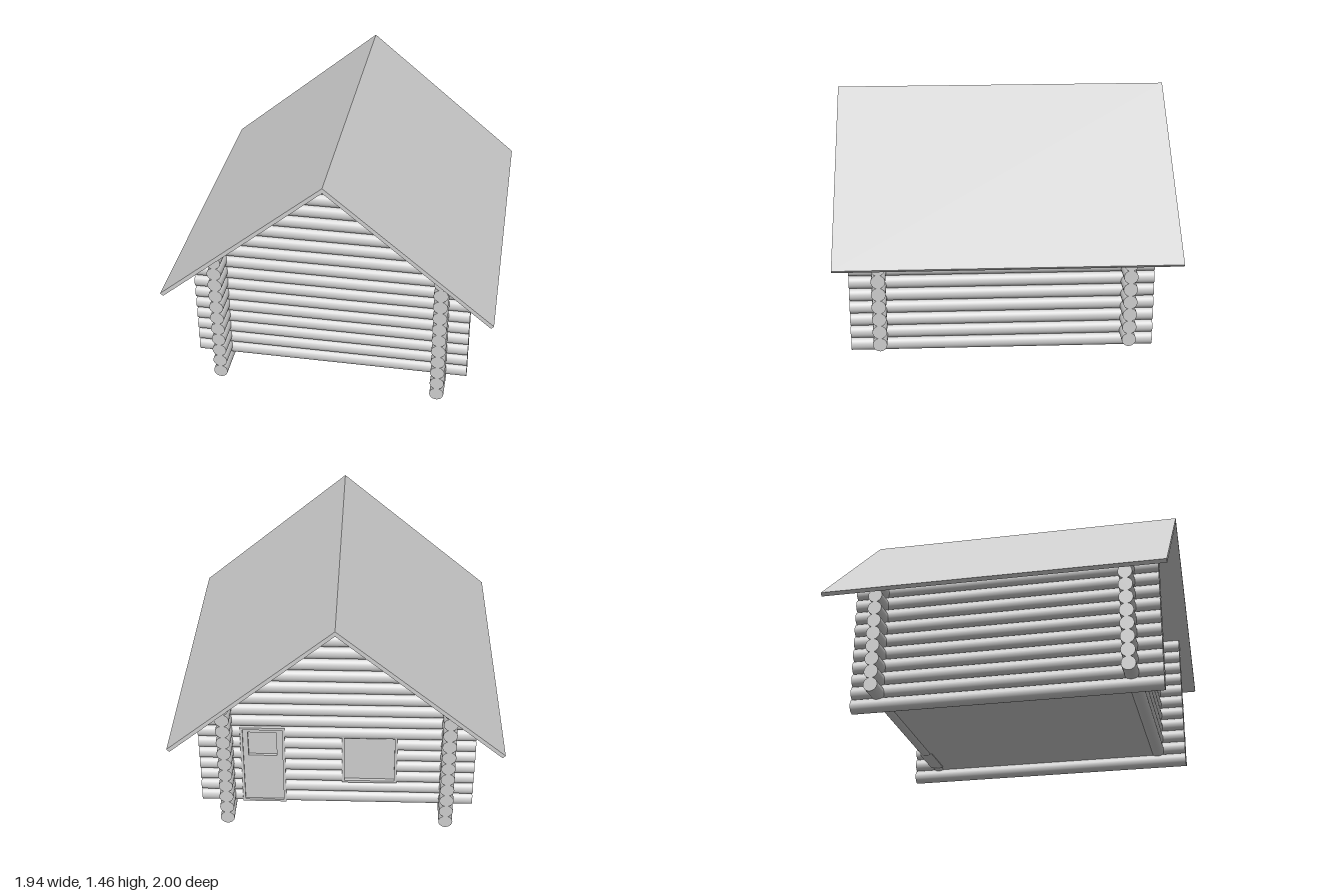
import * as THREE from 'three';

const material = new THREE.MeshStandardMaterial({ color: 0xcccccc });
const R = 0.042, STEP = 0.0803;            // log radius and spacing
const HALF_X = 0.825, FRONT_Z = 0.75, BACK_Z = -0.72;
const SIDE_X = 0.66, SIDE_FRONT = 0.93, SIDE_BACK = -0.88;
const SLOPE = 0.84, RIDGE = 1.43;          // underside of the roof

// openings in the back wall: rows of logs are cut between x0 and x1
const DOOR = { x0: 0.31, x1: 0.575, y0: 0.075, y1: 0.63, rows: [0, 6] };
const WINDOW = { x0: -0.36, x1: -0.03, y0: 0.235, y1: 0.595, rows: [2, 5] };

export function createModel() {
  const model = new THREE.Group();
  model.name = 'logCabin';

  const add = (parent, name, geometry, x = 0, y = 0, z = 0) => {
    const mesh = new THREE.Mesh(geometry, material);
    mesh.name = name;
    mesh.position.set(x, y, z);
    parent.add(mesh);
    return mesh;
  };
  const group = (name) => {
    const g = new THREE.Group();
    g.name = name;
    model.add(g);
    return g;
  };
  const box = (parent, name, x0, x1, y0, y1, z0, z1) =>
    add(parent, name, new THREE.BoxGeometry(x1 - x0, y1 - y0, z1 - z0),
      (x0 + x1) / 2, (y0 + y1) / 2, (z0 + z1) / 2);

  // log along x, its ends sheared off where they would pass through the roof
  const crossLog = (parent, x0, x1, y, z) => {
    const geometry = new THREE.CylinderGeometry(R, R, x1 - x0, 28);
    geometry.rotateZ(Math.PI / 2).translate((x0 + x1) / 2, y, z);
    const p = geometry.attributes.position;
    for (let i = 0; i < p.count; i++) {
      const limit = Math.max(0, (RIDGE - p.getY(i)) / SLOPE);
      p.setX(i, THREE.MathUtils.clamp(p.getX(i), -limit, limit));
    }
    add(parent, 'crossLog', geometry);
  };

  // gable walls
  const frontWall = group('frontWall'), backWall = group('backWall');
  for (let row = 0; row < 17; row++) {
    const y = 0.11 + row * STEP;
    crossLog(frontWall, -HALF_X, HALF_X, y, FRONT_Z);
    let start = -HALF_X;
    for (const hole of [WINDOW, DOOR]) {
      if (row < hole.rows[0] || row > hole.rows[1]) continue;
      crossLog(backWall, start, hole.x0, y, BACK_Z);
      start = hole.x1;
    }
    crossLog(backWall, start, HALF_X, y, BACK_Z);
  }

  // side walls, half a log lower so the corners interlock
  for (const side of [1, -1]) {
    const wall = group(side > 0 ? 'leftWall' : 'rightWall');
    for (let row = 0; row < 11; row++) {
      const log = new THREE.CylinderGeometry(R, R, SIDE_FRONT - SIDE_BACK, 28).rotateX(Math.PI / 2);
      add(wall, 'sideLog', log, side * SIDE_X, R + 0.003 + row * STEP, (SIDE_FRONT + SIDE_BACK) / 2);
    }
  }

  // lining boards around an opening
  const frame = (parent, o, t, z0, z1) => {
    box(parent, 'frameSide', o.x0, o.x0 + t, o.y0, o.y1, z0, z1);
    box(parent, 'frameSide', o.x1 - t, o.x1, o.y0, o.y1, z0, z1);
    box(parent, 'frameTop', o.x0 + t, o.x1 - t, o.y1 - t, o.y1, z0, z1);
    box(parent, 'frameSill', o.x0 + t, o.x1 - t, o.y0, o.y0 + t, z0, z1);
  };
  const outer = BACK_Z - R, inner = BACK_Z + R;

  // door with a small pane in its upper half
  const door = group('door');
  frame(door, DOOR, 0.015, outer + 0.005, inner);
  const leaf = new THREE.Shape([[0.325, 0.085], [0.56, 0.085], [0.56, 0.62], [0.325, 0.62]]
    .map(([x, y]) => new THREE.Vector2(x, y)));
  leaf.holes.push(new THREE.Path([[0.36, 0.42], [0.36, 0.59], [0.53, 0.59], [0.53, 0.42]]
    .map(([x, y]) => new THREE.Vector2(x, y))));
  add(door, 'doorLeaf', new THREE.ExtrudeGeometry(leaf, { depth: 0.03, bevelEnabled: false }), 0, 0, BACK_Z - 0.025);
  box(door, 'doorPane', 0.355, 0.535, 0.415, 0.595, BACK_Z - 0.007, BACK_Z + 0.003);

  // window
  const window = group('window');
  frame(window, WINDOW, 0.015, outer + 0.005, inner);
  box(window, 'windowPane', WINDOW.x0 + 0.01, WINDOW.x1 - 0.01, WINDOW.y0 + 0.01, WINDOW.y1 - 0.01,
    BACK_Z - 0.015, BACK_Z + 0.005);

  // floor
  box(model, 'floor', -SIDE_X, SIDE_X, 0.08, 0.11, BACK_Z, FRONT_Z);

  // roof: a thin chevron drawn out along z
  const half = [[0.97, 0.647], [0.954, 0.63], [0, RIDGE]];
  const outline = [[0, 1.46], [-0.97, 0.647], [-0.954, 0.63], [0, RIDGE], half[1], half[0]];
  const roofShape = new THREE.Shape(outline.map(([x, y]) => new THREE.Vector2(x, y)));
  add(model, 'roof', new THREE.ExtrudeGeometry(roofShape, { depth: 2, bevelEnabled: false }), 0, 0, -1);

  return model;
}
